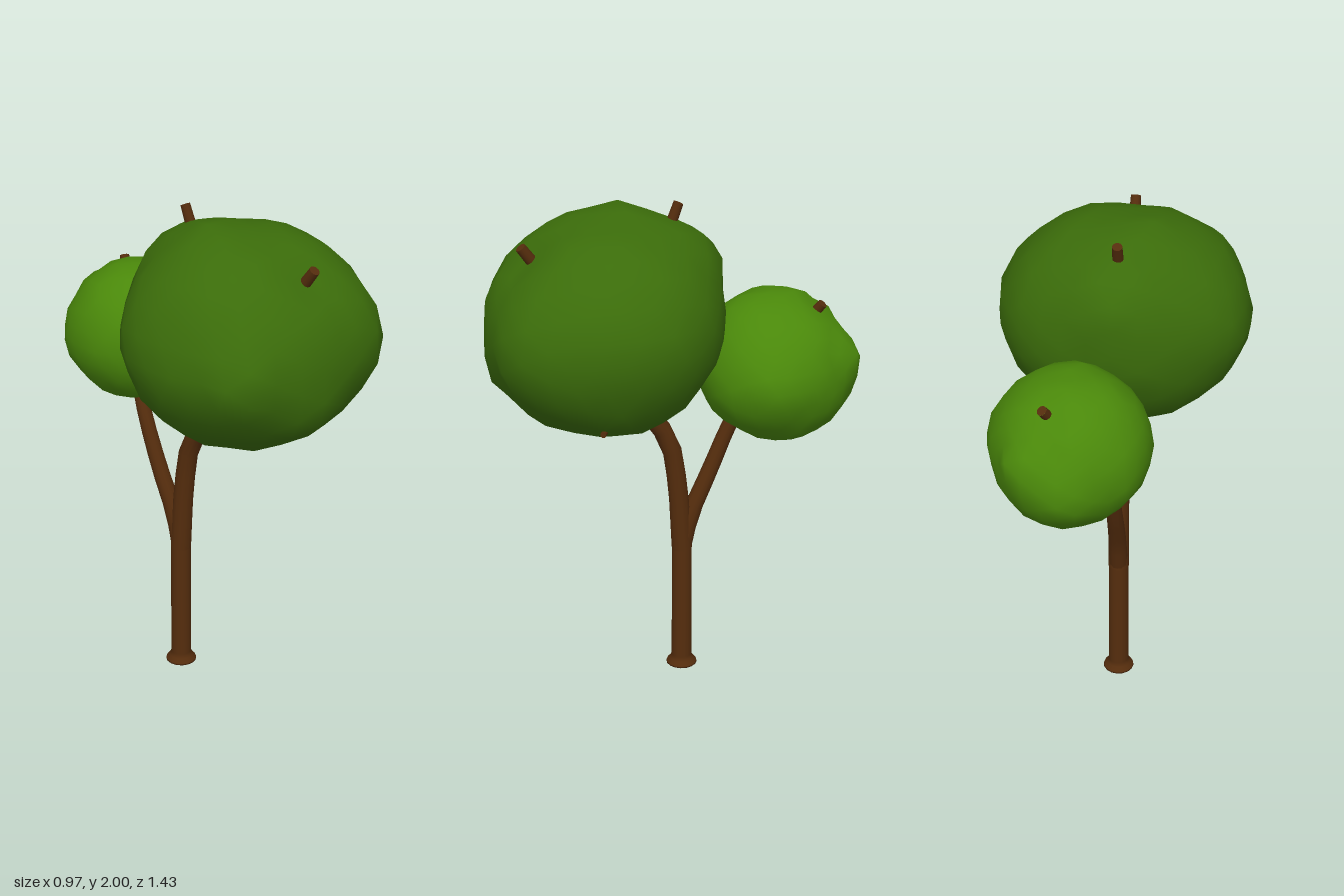
import * as THREE from 'three';
import { mergeVertices, mergeGeometries } from 'three/addons/utils/BufferGeometryUtils.js';

const bark = new THREE.MeshStandardMaterial({ color: 0x552d0d });
const darkLeaf = new THREE.MeshStandardMaterial({ color: 0x3b6c0a });
const lightLeaf = new THREE.MeshStandardMaterial({ color: 0x4a880a });

// Tapered round limb along a smooth curve, closed at its tip
function limb(name, points, r0, r1, segments = 6) {
  const curve = new THREE.CatmullRomCurve3(points.map(p => new THREE.Vector3(...p)));
  const sides = 12;
  const tube = new THREE.TubeGeometry(curve, segments, r0, sides);
  const pos = tube.attributes.position, v = new THREE.Vector3();
  for (let i = 0; i < pos.count; i++) {
    const t = Math.floor(i / (sides + 1)) / segments;
    const c = curve.getPointAt(t);
    v.fromBufferAttribute(pos, i).sub(c).multiplyScalar(1 + (r1 / r0 - 1) * t).add(c);
    pos.setXYZ(i, v.x, v.y, v.z);
  }
  const cap = new THREE.CircleGeometry(r1, sides);
  const aim = new THREE.Object3D();
  aim.lookAt(curve.getTangentAt(1));
  cap.applyQuaternion(aim.quaternion).translate(...curve.getPointAt(1).toArray());
  const mesh = new THREE.Mesh(mergeGeometries([tube, cap]), bark);
  mesh.name = name;
  return mesh;
}

// Radius read from a closed ring of 12 samples, one every 30 degrees
function ringRadius(ring, a, b) {
  const t = ((Math.atan2(b, a) / (Math.PI * 2) + 1) % 1) * 12;
  const i = Math.floor(t) % 12;
  return THREE.MathUtils.lerp(ring[i], ring[(i + 1) % 12], t - Math.floor(t));
}

function seeded(seed) {
  return () => {
    seed = (seed * 16807) % 2147483647;
    return seed / 2147483647;
  };
}

// Lumpy crown: a sphere whose radius blends three outline rings (xy, zy, xz),
// then is drawn out or in to meet each knob point
function crown(name, center, [xy, zy, xz], knobs, material, seed) {
  const raw = new THREE.IcosahedronGeometry(1, 4);
  raw.deleteAttribute('normal');
  raw.deleteAttribute('uv');
  const geo = mergeVertices(raw, 1e-3);
  const mid = new THREE.Vector3(...center);
  const pulls = knobs.map(p => new THREE.Vector3(...p).sub(mid));
  const pos = geo.attributes.position, d = new THREE.Vector3(), rand = seeded(seed);
  for (let i = 0; i < pos.count; i++) {
    d.fromBufferAttribute(pos, i).normalize();
    const w = [d.z, d.x, d.y].map(n => 1 / (n * n + 0.04));
    let r = (w[0] * ringRadius(xy, d.x, d.y) + w[1] * ringRadius(zy, d.z, d.y)
      + w[2] * ringRadius(xz, d.x, d.z)) / (w[0] + w[1] + w[2]);
    r *= 1 + (rand() - 0.5) * 0.035;
    for (const p of pulls) {
      const angle = d.angleTo(p);
      r = THREE.MathUtils.lerp(r, p.length(), Math.exp(-((angle / 0.2) ** 2)));
    }
    d.multiplyScalar(r);
    pos.setXYZ(i, d.x, d.y, d.z);
  }
  geo.computeVertexNormals();
  const mesh = new THREE.Mesh(geo, material);
  mesh.name = name;
  mesh.position.copy(mid);
  return mesh;
}

export function createModel() {
  const tree = new THREE.Group();
  tree.name = 'tree';
  const x = -0.013, z = -0.055;

  // Trunk with a flared foot
  const profile = [[0, 0], [0.063, 0], [0.061, 0.006], [0.047, 0.022], [0.041, 0.04], [0.04, 0.58], [0.037, 0.66], [0, 0.68]];
  const trunk = new THREE.Mesh(
    new THREE.LatheGeometry(profile.map(p => new THREE.Vector2(...p)), 16), bark);
  trunk.name = 'trunk';
  trunk.position.set(x, 0, z);
  tree.add(trunk);

  // The two main forks
  tree.add(limb('frontBranch', [[x, 0.54, z], [x, 0.83, -0.035], [x, 1.02, 0.0],
    [x, 1.18, 0.1], [x, 1.45, 0.25]], 0.042, 0.034, 9));
  tree.add(limb('backBranch', [[x, 0.54, z], [x, 0.68, -0.09], [x, 0.86, -0.168],
    [0.0, 1.1, -0.265], [0.06, 1.35, -0.38]], 0.038, 0.025, 9));

  // Twigs poking out of the crowns
  const twigs = [
    ['topTwig', [[x, 1.45, 0.22], [-0.005, 1.75, 0.06], [-0.005, 1.993, -0.035]], 0.034, 0.019],
    ['frontTwig', [[x, 1.45, 0.25], [-0.005, 1.69, 0.43], [-0.005, 1.885, 0.57]], 0.036, 0.02],
    ['sideTwig', [[x, 1.2, 0.11], [0.18, 1.25, 0.27], [0.355, 1.265, 0.375]], 0.018, 0.011],
    ['backTwig', [[0.06, 1.35, -0.38], [0.14, 1.48, -0.46], [0.2, 1.608, -0.54]], 0.028, 0.019],
  ];
  for (const twig of twigs) tree.add(limb(...twig));

  // Leaf crowns
  tree.add(crown('largeCrown', [0, 1.56, 0.26], [
    [0.47, 0.47, 0.42, 0.4, 0.44, 0.475, 0.49, 0.46, 0.435, 0.42, 0.435, 0.465],
    [0.45, 0.43, 0.4, 0.4, 0.455, 0.5, 0.44, 0.41, 0.44, 0.42, 0.43, 0.46],
    [0.49, 0.48, 0.495, 0.45, 0.455, 0.49, 0.49, 0.467, 0.445, 0.45, 0.455, 0.485],
  ], [
    [-0.11, 1.99, 0.15], [-0.4, 1.8, 0.32], [-0.43, 1.54, 0.59], [0.49, 1.62, 0.25],
    [-0.49, 1.56, 0.22], [0.26, 1.55, 0.7], [0, 1.82, 0.53], [0.05, 1.83, -0.17],
    [0.28, 1.89, 0.3], [-0.46, 1.6, 0.06], [-0.13, 1.36, 0.69],
  ], darkLeaf, 11));
  tree.add(crown('smallCrown', [0.13, 1.36, -0.39], [
    [0.3, 0.29, 0.28, 0.28, 0.3, 0.31, 0.305, 0.3, 0.29, 0.29, 0.3, 0.3],
    [0.315, 0.32, 0.31, 0.28, 0.28, 0.27, 0.31, 0.31, 0.3, 0.29, 0.29, 0.31],
    [0.3, 0.33, 0.33, 0.31, 0.31, 0.31, 0.305, 0.31, 0.295, 0.32, 0.305, 0.275],
  ], [
    [0.11, 1.3, -0.72], [0.31, 1.42, -0.66], [0.44, 1.34, -0.27], [0.12, 1.64, -0.49],
    [0.18, 1.575, -0.52], [0.06, 1.54, -0.62], [-0.18, 1.36, -0.36],
  ], lightLeaf, 29));

  return tree;
}
